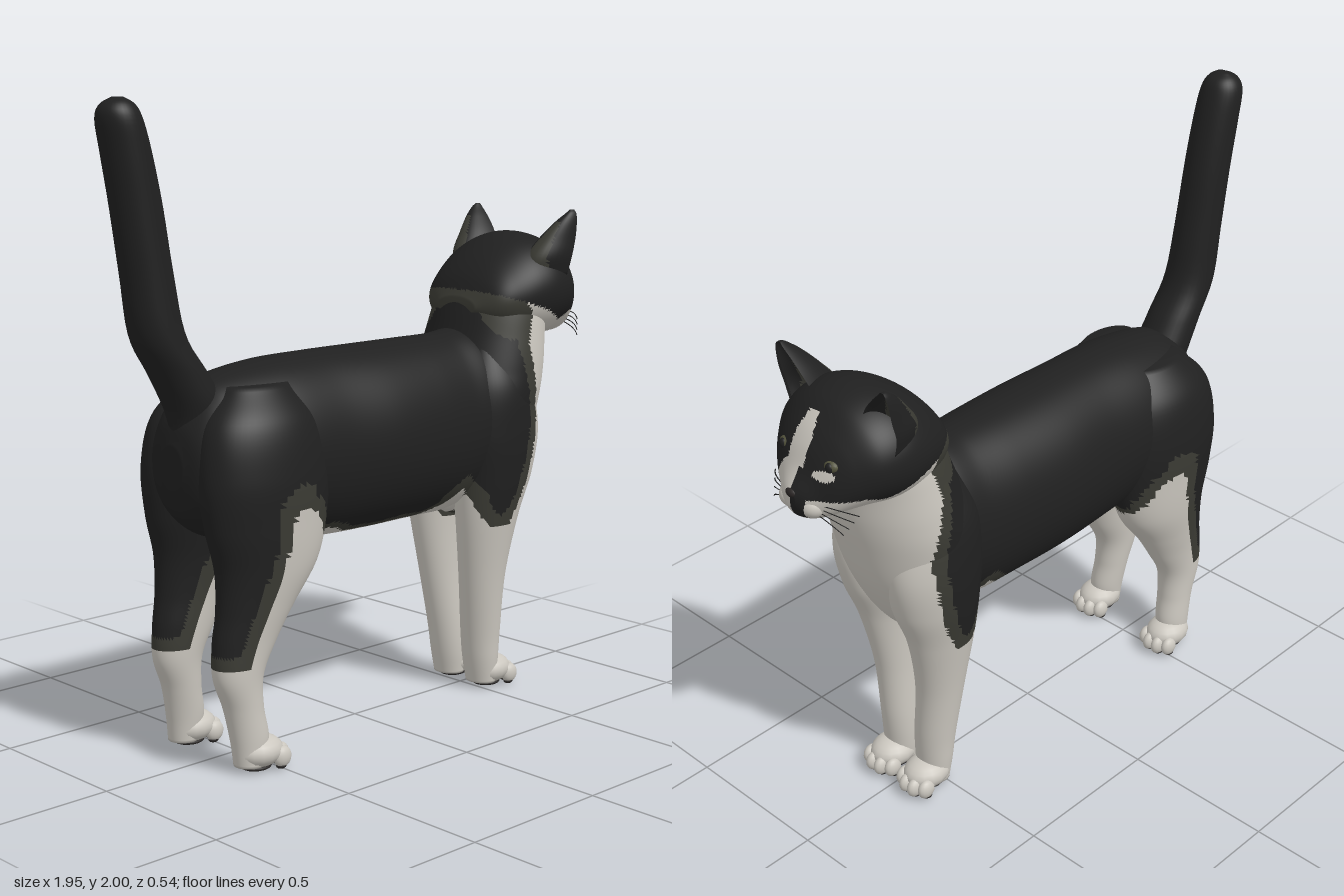
import * as THREE from 'three';

const mat = (name, color, extra = {}) => new THREE.MeshStandardMaterial({ name, color, ...extra });
const BLACK = 0, GREY = 1, WHITE = 2;
const coat = [mat('black fur', 0x202020), mat('dark grey fur', 0x3b3b34), mat('white fur', 0xcbc7bf)];
const padMat = mat('paw pads', 0x2b2827);
const eyeMat = mat('olive iris', 0x50503a);
const noseMat = mat('dark nose', 0x2a2625);

// Sort the triangles of a geometry into one group per coat colour
function paint(geo, rule) {
  const p = geo.attributes.position, idx = geo.index.array, lists = [[], [], []];
  for (let i = 0; i < idx.length; i += 3) {
    const t = [idx[i], idx[i + 1], idx[i + 2]];
    const mid = (get) => (get(t[0]) + get(t[1]) + get(t[2])) / 3;
    lists[rule(mid((k) => p.getX(k)), mid((k) => p.getY(k)), mid((k) => p.getZ(k)))].push(...t);
  }
  geo.setIndex(lists.flat());
  let start = 0;
  lists.forEach((l, m) => { geo.addGroup(start, l.length, m); start += l.length; });
  return geo;
}

// Smooth skin over oval sections [t, lowA, highA, lowB, highB].
// axis 'x': A is y, B is z.  axis 'y': A is x, B is z.  cup hollows the +x side.
function loft(axis, stations, rows, cols, cup = false) {
  const n = stations.length;
  const spline = new THREE.CubicInterpolant(
    stations.map((_, i) => i), stations.flat(), 5, new Float32Array(5));
  const pos = [], idx = [];
  for (let i = 0; i <= rows + 2; i++) {
    const u = THREE.MathUtils.clamp((i - 1) / rows, 0, 1);
    const [t, a0, a1, b0, b1] = spline.evaluate(u * (n - 1));
    const s = i === 0 || i === rows + 2 ? 0 : 0.5;
    for (let j = 0; j < cols; j++) {
      const w = j / cols * Math.PI * 2, c = Math.cos(w), d = Math.sin(w);
      const b = (b0 + b1) / 2, ra = (a1 - a0) * s, rb = (b1 - b0) * s, a = (a0 + a1) / 2;
      if (axis === 'x') pos.push(t, a + ra * d, b + rb * c);
      else pos.push(cup ? a1 - ra * Math.abs(c) * (c > 0 ? 0.9 : 2) : a + ra * c, t, b + rb * d);
    }
  }
  for (let i = 0; i < rows + 2; i++) for (let j = 0; j < cols; j++) {
    const k = (j + 1) % cols, p = i * cols, q = p + cols;
    idx.push(p + j, q + j, q + k, p + j, q + k, p + k);
  }
  const geo = new THREE.BufferGeometry();
  geo.setAttribute('position', new THREE.Float32BufferAttribute(pos, 3));
  geo.setIndex(idx);
  geo.computeVertexNormals();
  return geo;
}

// Side outline (x, y) of the dark saddle; a grey band runs inside its edge
const saddle = [
  [-1, 1.6], [-1, .33], [-.70, .33], [-.62, .335], [-.57, .49], [-.53, .60], [-.50, .70], [-.485, .785],
  [-.45, .80], [-.38, .78], [-.34, .71], [-.30, .67], [-.22, .685], [-.12, .65], [0, .645], [.1, .65],
  [.2, .645], [.28, .68], [.34, .73], [.38, .69], [.41, .62], [.45, .58], [.52, .585], [.57, .68],
  [.605, .80], [.63, .95], [.605, 1.08], [.585, 1.18], [.61, 1.27], [.67, 1.29], [.77, 1.245], [.82, 1.25], [.82, 1.6],
];
const inPatch = (x, y) => ((x - .54) / .07) ** 2 + ((y - 1.265) / .065) ** 2 < 1;
function bodyRule(x, y) {
  let inside = false, dist = 9;
  saddle.forEach(([x1, y1], i) => {
    const [x2, y2] = saddle[(i + 1) % saddle.length], dx = x2 - x1, dy = y2 - y1;
    if ((y1 > y) !== (y2 > y) && x < x1 + (y - y1) / dy * dx) inside = !inside;
    const t = THREE.MathUtils.clamp(((x - x1) * dx + (y - y1) * dy) / (dx * dx + dy * dy), 0, 1);
    dist = Math.min(dist, Math.hypot(x - x1 - t * dx, y - y1 - t * dy));
  });
  if (!inside) return WHITE;
  const onHaunch = x > -.54 && x < -.4 && y < .9;
  const band = onHaunch ? .075 : x > -.3 && x < .25 ? .02 : .042;
  return dist < band || inPatch(x, y) ? GREY : BLACK;
}

// Dark mask with a white blaze, one white muzzle side and white throat
function headRule(x, y, z) {
  if (x < .84) {
    const line = x < .67 ? 1.29 + (.67 - x) * .33 : x < .77 ? 1.29 - (x - .67) * .45 : 1.245 + (x - .77) * .4;
    if (inPatch(x, y) && y < 1.325) return GREY;
    return y < line ? (x < .57 ? GREY : WHITE) : BLACK;
  }
  if (y > 1.35 && y < 1.485 && Math.abs(z - .02) < .036 - Math.max(0, y - 1.43) * .3) return WHITE;
  if (y <= 1.35 && z > 0 && z < .11 - Math.max(0, y - 1.28) * .6) return WHITE;
  if (((z + .085) / .035) ** 2 + ((y - 1.345) / .016) ** 2 < 1) return WHITE;
  if (y < 1.2 || (Math.abs(z) > .05 && y < 1.27)) return WHITE;
  return BLACK;
}

function earRule(x, y, z) {
  const t = (y - 1.4) / .21;
  return y < 1.575 && Math.abs(Math.abs(z) - .157 - .055 * t) < .055 * (1 - t) ? GREY : BLACK;
}

export function createModel() {
  const cat = new THREE.Group();
  cat.name = 'cat';
  const add = (name, geo, material, parent = cat) => {
    const m = new THREE.Mesh(geo, material);
    m.name = name;
    parent.add(m);
    return m;
  };
  const ball = (name, material, [x, y, z], [rx, ry, rz], parent) => {
    const m = add(name, new THREE.SphereGeometry(1, 16, 12), material, parent);
    m.position.set(x, y, z);
    m.scale.set(rx, ry, rz);
  };
  const even = (list) => list.map(([t, a, b, w]) => [t, a, b, -w, w]);

  // Trunk, chest and neck
  add('torso', paint(loft('x', even([
    [-.742, .86, .99, .05], [-.72, .78, 1.07, .12], [-.66, .72, 1.15, .17], [-.58, .69, 1.19, .20],
    [-.4, .66, 1.215, .225], [-.2, .635, 1.22, .225], [0, .63, 1.22, .235], [.2, .63, 1.22, .225],
    [.35, .63, 1.22, .21], [.48, .66, 1.225, .20], [.6, .72, 1.15, .15], [.68, .85, 1.0, .08],
  ]), 110, 110), bodyRule), coat);
  add('chestAndNeck', paint(loft('y', even([
    [.61, .42, .56, .06], [.64, .38, .60, .12], [.72, .34, .655, .18], [.85, .32, .715, .215],
    [1.0, .34, .755, .232], [1.1, .38, .775, .227], [1.2, .42, .785, .215], [1.3, .455, .80, .20],
    [1.4, .50, .80, .17], [1.46, .58, .74, .10],
  ]), 80, 90), bodyRule), coat);

  // Raised tail
  add('tail', loft('y', even([
    [.98, -.73, -.60, .05], [1.08, -.74, -.55, .085], [1.2, -.80, -.62, .085], [1.32, -.868, -.70, .08],
    [1.5, -.898, -.74, .075], [1.7, -.93, -.775, .073], [1.85, -.957, -.81, .072], [1.94, -.972, -.838, .068],
    [1.98, -.958, -.86, .05], [2.0, -.92, -.895, .02],
  ]), 44, 32), coat[BLACK]);

  // Head with muzzle and nose
  const head = new THREE.Group();
  head.name = 'head';
  cat.add(head);
  add('skull', paint(loft('x', even([
    [.46, 1.27, 1.33, .08], [.50, 1.22, 1.405, .16], [.56, 1.18, 1.468, .20], [.64, 1.17, 1.518, .228],
    [.72, 1.17, 1.535, .235], [.80, 1.185, 1.515, .215], [.86, 1.185, 1.465, .172], [.90, 1.18, 1.41, .13],
    [.93, 1.185, 1.345, .085], [.955, 1.205, 1.305, .05], [.968, 1.235, 1.285, .02],
  ]), 100, 100), headRule), coat, head);
  for (const s of [1, -1]) {
    const cheek = new THREE.SphereGeometry(1, 32, 24);
    cheek.scale(.045, .038, .045).translate(.917, 1.237, s * .04);
    add('muzzle', paint(cheek, headRule), coat, head);
    ball('eye', eyeMat, [.885, 1.372, s * .093], [.022, .02, .028], head);
    ball('pupil', coat[BLACK], [.899, 1.372, s * .097], [.011, .016, .014], head);
  }
  ball('chin', coat[WHITE], [.905, 1.198, 0], [.035, .022, .035], head);
  ball('nose', noseMat, [.957, 1.278, 0], [.017, .016, .023], head);

  const legs = {
    front: { paw: [.555, .078], rows: [
      [.02, .475, .57, .02, .13], [.1, .46, .575, .012, .138], [.2, .445, .58, .012, .145],
      [.4, .415, .585, .022, .168], [.6, .385, .625, .02, .20], [.75, .37, .68, 0, .225],
      [.9, .36, .70, 0, .236], [1.05, .38, .66, 0, .225], [1.18, .44, .58, .03, .16]] },
    hind: { paw: [-.553, .16], rows: [
      [.02, -.635, -.54, .11, .205], [.1, -.645, -.52, .10, .208], [.2, -.665, -.535, .09, .205],
      [.3, -.70, -.53, .08, .208], [.4, -.70, -.475, .07, .215], [.5, -.685, -.41, .06, .23],
      [.62, -.685, -.32, .04, .25], [.75, -.715, -.28, .02, .262], [.9, -.73, -.27, 0, .267],
      [1.05, -.70, -.30, 0, .24], [1.16, -.60, -.38, .03, .16]] },
  };
  for (const s of [1, -1]) {
    const mirror = (list) => list.map(([t, a, b, c, d]) => (s > 0 ? [t, a, b, c, d] : [t, a, b, -d, -c]));
    const side = s > 0 ? 'left' : 'right';

    // Cupped ear
    add(side + 'Ear', paint(loft('y', mirror([
      [1.40, .63, .765, .09, .22], [1.46, .64, .77, .095, .235], [1.52, .685, .785, .125, .236],
      [1.57, .73, .793, .165, .234], [1.60, .765, .797, .195, .228], [1.613, .783, .797, .207, .218],
    ]), 32, 36, true), earRule), coat, head);

    // Whiskers
    for (let i = 0; i < 4; i++) {
      const curve = new THREE.QuadraticBezierCurve3(
        new THREE.Vector3(.925, 1.25 - i * .012, s * .07),
        new THREE.Vector3(.92, 1.26 - i * .02, s * .13),
        new THREE.Vector3(.87 + i * .012, 1.235 - i * .02, s * (.18 - i * .01)));
      add('whisker', new THREE.TubeGeometry(curve, 8, .0018, 4), coat[BLACK], head);
    }

    // Legs with toes and dark soles
    for (const [kind, { paw: [px, pz], rows }] of Object.entries(legs)) {
      const leg = new THREE.Group();
      leg.name = `${side}${kind === 'front' ? 'Front' : 'Hind'}Leg`;
      cat.add(leg);
      add('limb', paint(loft('y', mirror(rows), 90, 56), bodyRule), coat, leg);
      ball('paw', coat[WHITE], [px, .057, s * pz], [.082, .05, .069], leg);
      ball('mainPad', padMat, [px - .01, .012, s * pz], [.05, .012, .045], leg);
      for (const o of [-.05, -.018, .018, .05]) {
        const x = px + (Math.abs(o) > .03 ? .052 : .07);
        ball('toe', coat[WHITE], [x, .037, s * pz + o], [.032, .033, .021], leg);
        ball('toePad', padMat, [x - .004, .01, s * pz + o], [.018, .01, .014], leg);
      }
    }
  }
  return cat;
}
